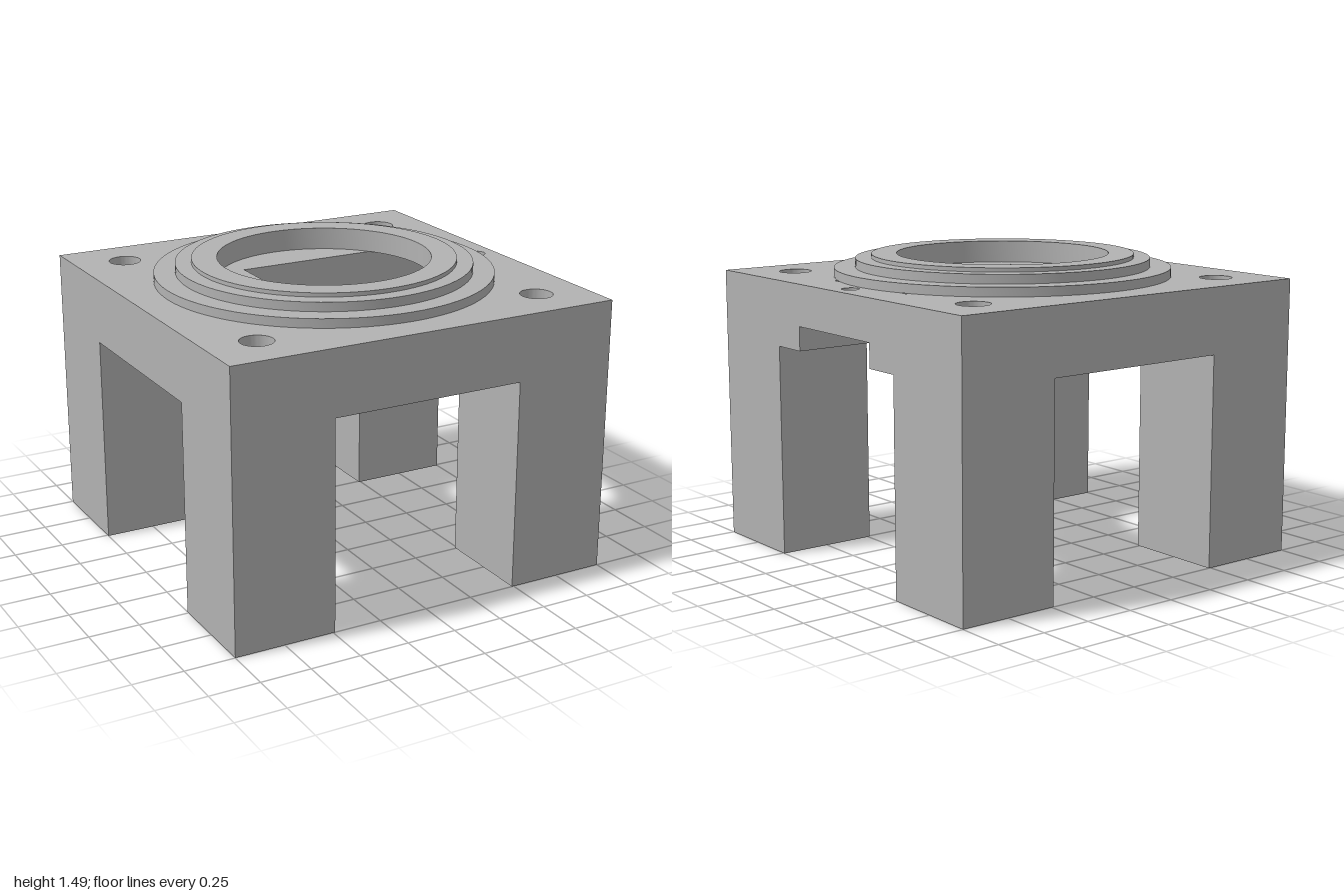
import * as THREE from 'three';
import { toCreasedNormals } from 'three/addons/utils/BufferGeometryUtils.js';

const material = new THREE.MeshStandardMaterial({ color: 0xb2b2b2 });
material.name = 'plain grey';

const CORNERS = [[-1, -1], [1, -1], [1, 1], [-1, 1]];
const BOLT = 0.745;

// Closed outline through the given x/z points
const outline = (pts) => new THREE.Shape(pts.map(([x, z]) => new THREE.Vector2(x, z)));

const rect = (x0, x1, z0, z1) => outline([[x0, z0], [x1, z0], [x1, z1], [x0, z1]]);

const circle = (x, z, r) => new THREE.Path().absarc(x, z, r, 0, Math.PI * 2, true);

// Upright prism of a shape between two heights
function slab(name, shape, y0, y1) {
  const g = new THREE.ExtrudeGeometry(shape, { depth: y1 - y0, bevelEnabled: false, curveSegments: 32 });
  g.rotateX(-Math.PI / 2).translate(0, y0, 0);
  const mesh = new THREE.Mesh(toCreasedNormals(g, 0.5), material);
  mesh.name = name;
  return mesh;
}

export function createModel() {
  const model = new THREE.Group();
  model.name = 'mountingStand';
  const boltHoles = () => CORNERS.map(([sx, sz]) => circle(sx * BOLT, sz * BOLT, 0.08));

  // Upper plate with the motor window, two screw holes and corner bolt holes
  const upper = rect(-1, 1, -1, 1);
  upper.holes.push(...boltHoles(), rect(-0.29, 0.795, -0.3, 0.3),
    circle(-0.39, 0, 0.042), circle(0.9, 0, 0.042));
  model.add(slab('upperPlate', upper, 1.17, 1.375));

  // Lower plate with a recess open to the model's left side
  const lower = outline([[-1, -1], [1, -1], [1, -0.3], [-0.49, -0.3],
    [-0.49, 0.3], [1, 0.3], [1, 1], [-1, 1]]);
  lower.holes.push(...boltHoles());
  model.add(slab('lowerPlate', lower, 1.05, 1.17));

  // Square corner legs, bored through and counterbored at the foot
  for (const [sx, sz] of CORNERS) {
    const leg = new THREE.Group();
    leg.name = 'leg';
    const section = (r) => {
      const s = rect(Math.min(sx, sx * 0.49), Math.max(sx, sx * 0.49),
        Math.min(sz, sz * 0.49), Math.max(sz, sz * 0.49));
      s.holes.push(circle(sx * BOLT, sz * BOLT, r));
      return s;
    };
    // Extrusion turns the outline over, so +y of the shape ends up at -z
    leg.add(slab('legShaft', section(0.08), 0.15, 1.05));
    leg.add(slab('legFoot', section(0.15), 0, 0.15));
    model.add(leg);
  }

  // Stepped ring on top of the plate
  const profile = [[0.525, 1.375], [0.835, 1.375], [0.835, 1.42], [0.73, 1.42],
    [0.73, 1.465], [0.65, 1.465], [0.65, 1.485], [0.525, 1.485], [0.525, 1.375]]
    .map(([r, y]) => new THREE.Vector2(r, y));
  const ring = new THREE.Mesh(toCreasedNormals(new THREE.LatheGeometry(profile, 96), 0.5), material);
  ring.name = 'steppedRing';
  model.add(ring);

  return model;
}
